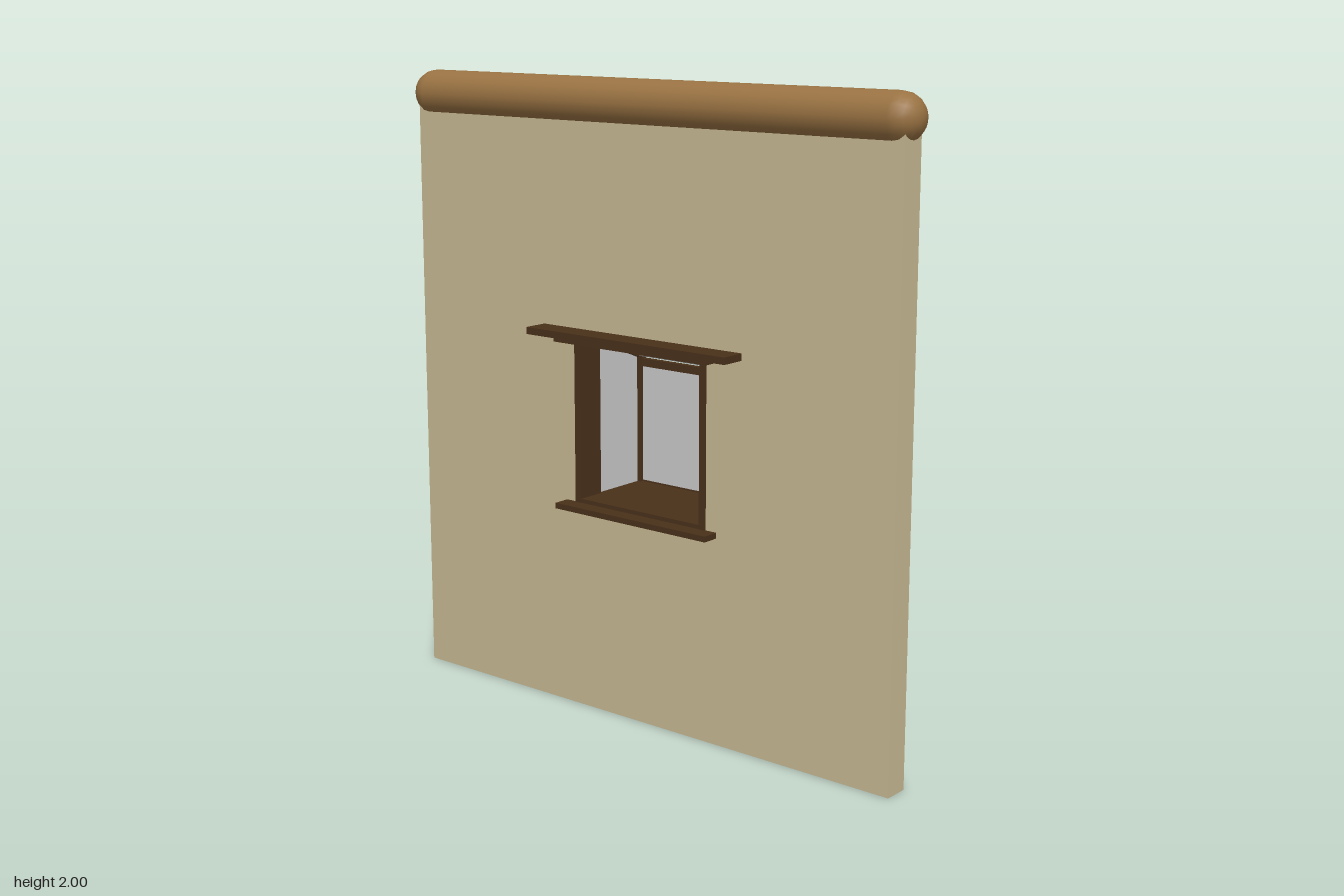
import * as THREE from 'three';

const mat = (color) => new THREE.MeshStandardMaterial({ color });

export function createModel() {
  const model = new THREE.Group();
  const plaster = mat(0xc9ba94), log = mat(0x9a7343), wood = mat(0x4a311a), glass = mat(0xcccccc);

  const add = (name, geometry, material) => {
    const mesh = new THREE.Mesh(geometry, material);
    mesh.name = name;
    model.add(mesh);
    return mesh;
  };
  // Box given by its limits on each axis
  const box = (name, [x0, x1], [y0, y1], [z0, z1], material = wood) => {
    const mesh = add(name, new THREE.BoxGeometry(x1 - x0, y1 - y0, z1 - z0), material);
    mesh.position.set((x0 + x1) / 2, (y0 + y1) / 2, (z0 + z1) / 2);
    return mesh;
  };
  // Panel lying on the roof slope, from its wall end to its outer end
  const sloped = (name, x, width, thick, [y0, z0], [y1, z1], material = wood) => {
    const length = Math.hypot(y1 - y0, z1 - z0);
    const mesh = add(name, new THREE.BoxGeometry(width, thick, length), material);
    mesh.position.set(x, (y0 + y1) / 2, (z0 + z1) / 2);
    mesh.rotation.x = Math.atan2(y1 - y0, z0 - z1);
    return mesh;
  };
  const rect = (target, x0, x1, y0, y1) => {
    target.moveTo(x0, y0).lineTo(x1, y0).lineTo(x1, y1).lineTo(x0, y1).closePath();
    return target;
  };

  // Wall with window opening
  const outline = rect(new THREE.Shape(), -0.93, 0.93, 0, 1.9);
  outline.holes.push(rect(new THREE.Path(), -0.255, 0.255, 0.67, 1.195));
  const wall = add('wall', new THREE.ExtrudeGeometry(outline, { depth: 0.08, bevelEnabled: false }), plaster);
  wall.position.z = 0.035;

  // Rounded beam along the top of the wall
  const beam = add('topBeam', new THREE.CapsuleGeometry(0.073, 1.774, 5, 20), log);
  beam.rotation.z = Math.PI / 2;
  beam.position.set(0, 1.927, 0.073);

  // Front trim
  box('hoodBoard', [-0.39, 0.39], [1.207, 1.229], [0.113, 0.197]);
  box('headTrim', [-0.3, 0.3], [1.19, 1.207], [0.1, 0.17]);
  box('sill', [-0.3, 0.3], [0.655, 0.673], [0.1, 0.17]);

  // Floor of the box window, through the wall
  box('windowFloor', [-0.26, 0.26], [0.672, 0.686], [-0.195, 0.118]);
  box('headLining', [-0.255, 0.255], [1.182, 1.195], [0.035, 0.118]);

  // Frame and glass of each side
  const cheek = new THREE.Shape();
  cheek.moveTo(-0.035, 0.68).lineTo(0.185, 0.68).lineTo(0.185, 1.09).lineTo(-0.035, 1.18).closePath();
  for (const s of [-1, 1]) {
    const span = (a, b) => (s > 0 ? [a, b] : [-b, -a]);
    box('jamb', span(0.237, 0.26), [0.672, 1.195], [0.025, 0.12]);
    box('backPost', span(0.234, 0.262), [0.672, 1.098], [-0.195, -0.165]);
    sloped('rafter', s * 0.248, 0.028, 0.017, [1.187, 0.038], [1.096, -0.195]);
    const pane = add('sideGlass', new THREE.ExtrudeGeometry(cheek, { depth: 0.008, bevelEnabled: false }), glass);
    pane.rotation.y = Math.PI / 2;
    pane.position.x = s * 0.25 - 0.004;
  }

  // Back and roof glazing
  box('backRail', [-0.24, 0.24], [1.068, 1.093], [-0.195, -0.175]);
  box('backBottomRail', [-0.24, 0.24], [0.68, 0.69], [-0.195, -0.175]);
  box('backGlass', [-0.237, 0.237], [0.685, 1.075], [-0.187, -0.179], glass);
  sloped('roofGlass', 0, 0.472, 0.008, [1.185, 0.038], [1.104, -0.176], glass);

  return model;
}
